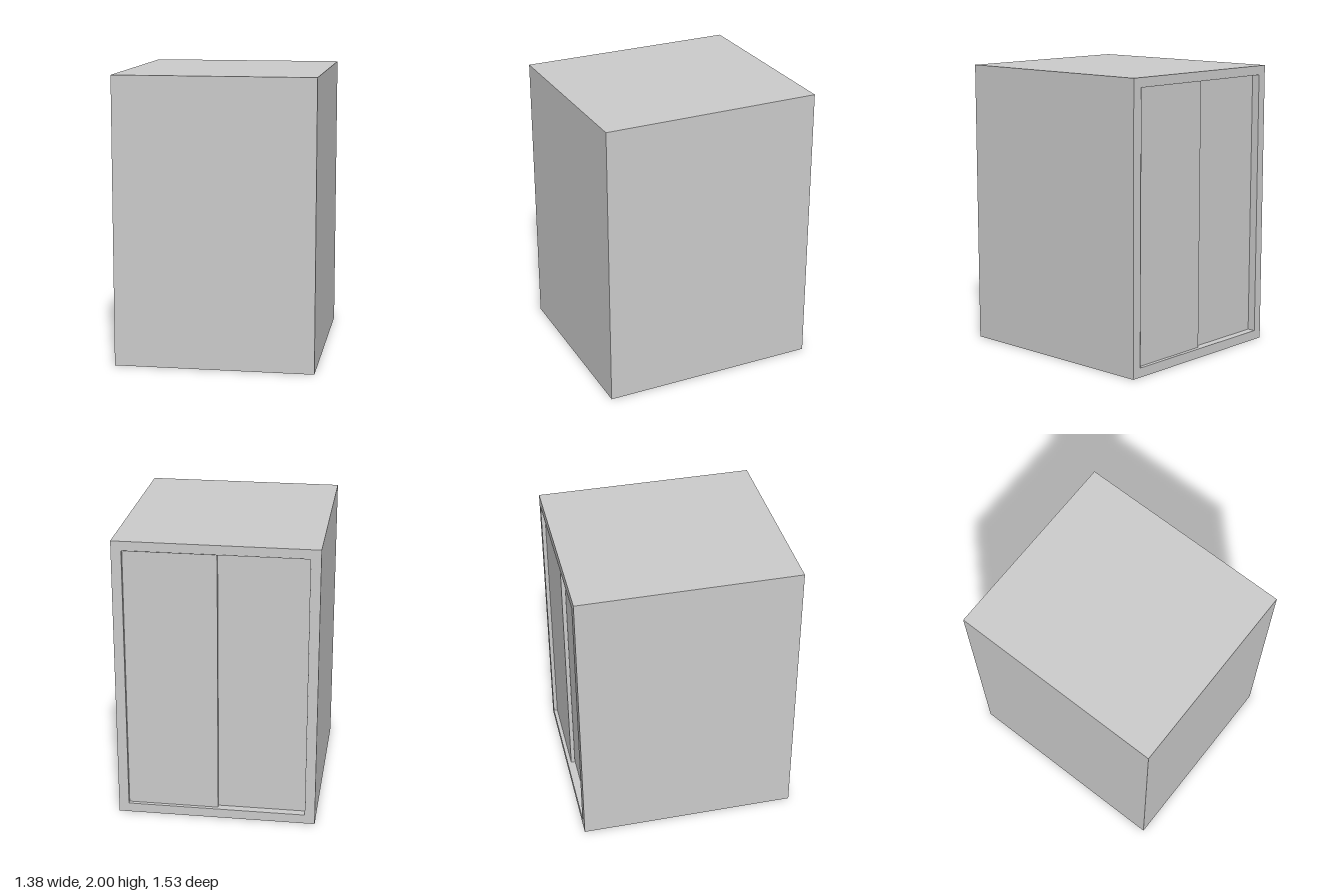
import * as THREE from 'three';

const W = 1.38, H = 2, FRONT = 0.765, BACK = -0.762; // cabinet extents
const OX = 0.62, OY0 = 0.067, OY1 = 1.935;           // rear opening
const FRAME = 0.1, LIP = 0.003;

export function createModel() {
  const group = new THREE.Group();
  group.name = 'cabinet';
  const material = new THREE.MeshStandardMaterial({ color: 0xcccccc, flatShading: true });

  function add(name, geometry) {
    const mesh = new THREE.Mesh(geometry, material);
    mesh.name = name;
    group.add(mesh);
    return mesh;
  }
  function addBox(name, x0, x1, y0, y1, z0, z1) {
    const mesh = add(name, new THREE.BoxGeometry(x1 - x0, y1 - y0, z1 - z0));
    mesh.position.set((x0 + x1) / 2, (y0 + y1) / 2, (z0 + z1) / 2);
  }
  function rectangle(path, x0, x1, y0, y1) {
    path.moveTo(x0, y0).lineTo(x1, y0).lineTo(x1, y1).lineTo(x0, y1).closePath();
    return path;
  }

  // Closed carcass
  addBox('carcass', -W / 2, W / 2, 0, H, BACK + FRAME, FRONT);

  // Frame around the opening
  const frame = rectangle(new THREE.Shape(), -W / 2, W / 2, 0, H);
  frame.holes.push(rectangle(new THREE.Path(), -OX, OX, OY0, OY1));
  add('doorFrame', new THREE.ExtrudeGeometry(frame, { depth: FRAME, bevelEnabled: false }))
    .position.z = BACK;

  // Fine lip standing just proud of the frame
  const t = 0.002;
  const lip = rectangle(new THREE.Shape(), -OX - t, OX + t, OY0 - t, OY1 + t);
  lip.holes.push(rectangle(new THREE.Path(), -OX, OX, OY0, OY1));
  add('openingLip', new THREE.ExtrudeGeometry(lip, { depth: LIP, bevelEnabled: false }))
    .position.z = BACK - LIP;

  // Two overlapping sliding doors on separate tracks
  addBox('outerSlidingDoor', -0.01, OX, OY0, OY1, -0.738, -0.71);
  addBox('innerSlidingDoor', -OX, 0.01, OY0, OY1, -0.708, -0.68);

  return group;
}
